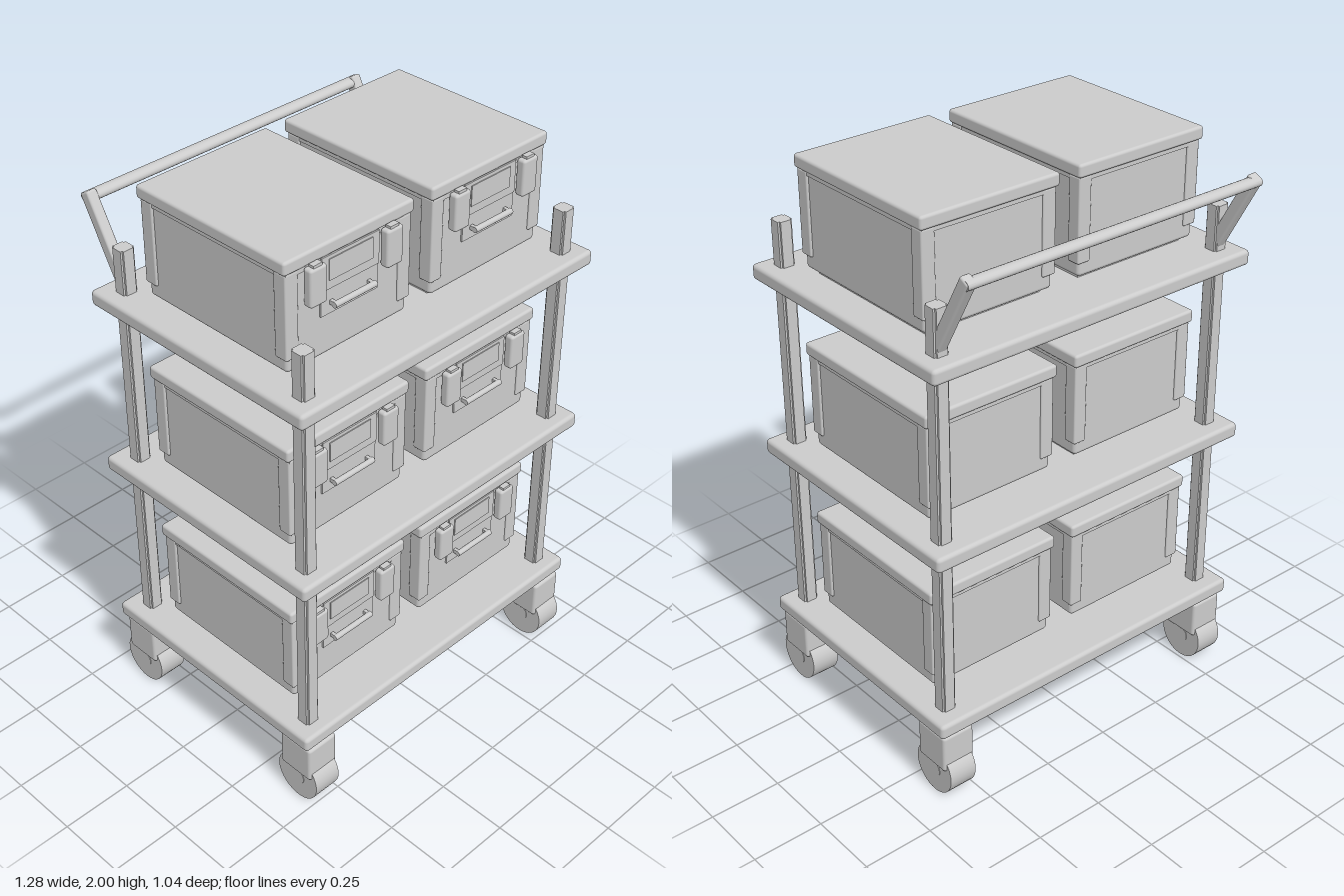
import * as THREE from 'three';
import { RoundedBoxGeometry } from 'three/addons/geometries/RoundedBoxGeometry.js';

const grey = new THREE.MeshStandardMaterial({ color: 0xcccccc });
grey.name = 'light grey';

function add(parent, name, geometry, x = 0, y = 0, z = 0) {
  const mesh = new THREE.Mesh(geometry, grey);
  mesh.name = name;
  mesh.position.set(x, y, z);
  parent.add(mesh);
  return mesh;
}

const box = (w, h, d) => new THREE.BoxGeometry(w, h, d);
const rounded = (w, h, d, r) => new RoundedBoxGeometry(w, h, d, 2, r);

const SHELF_Z = 0.033;
const POST_X = 0.565;
const POST_Z = [0.429, -0.353];

// Square post with small notches along its four edges
function postGeometry(height) {
  const a = 0.026, b = 0.019;
  const outline = [[-b, -a], [b, -a], [b, -b], [a, -b], [a, b], [b, b],
    [b, a], [-b, a], [-b, b], [-a, b], [-a, -b], [-b, -b]];
  const shape = new THREE.Shape(outline.map(([x, y]) => new THREE.Vector2(x, y)));
  return new THREE.ExtrudeGeometry(shape, { depth: height, bevelEnabled: false })
    .rotateX(-Math.PI / 2);
}

// Lidded storage bin, its origin at the bottom centre
function createBin() {
  const bin = new THREE.Group();
  bin.name = 'storageBin';
  add(bin, 'binFoot', box(0.44, 0.02, 0.54), 0, -0.006, 0.035);
  add(bin, 'binBody', rounded(0.488, 0.35, 0.606, 0.014), 0, 0.175, 0.037);
  add(bin, 'binLid', rounded(0.52, 0.045, 0.632, 0.01), 0, 0.3555, 0.035);
  add(bin, 'binRim', box(0.498, 0.016, 0.616), 0, 0.326, 0.037);

  // Raised corner guards
  for (const sx of [-1, 1]) {
    for (const sz of [-1, 1]) {
      add(bin, 'cornerGuard', rounded(0.05, 0.285, 0.05, 0.006),
        sx * 0.227, 0.19, 0.037 + sz * 0.284);
    }
  }

  // Front plate with a label frame and a pull bar
  add(bin, 'frontPlate', box(0.23, 0.195, 0.01), 0, 0.235, 0.341);
  add(bin, 'plateStep', box(0.23, 0.11, 0.006), 0, 0.2775, 0.347);
  add(bin, 'labelPanel', box(0.175, 0.07, 0.004), 0, 0.286, 0.351);
  add(bin, 'pullBar', new THREE.CylinderGeometry(0.01, 0.01, 0.168, 12).rotateZ(Math.PI / 2),
    0, 0.175, 0.367);
  for (const sx of [-1, 1]) {
    add(bin, 'pullBarMount', box(0.012, 0.014, 0.024), sx * 0.076, 0.175, 0.354);
    add(bin, 'latch', rounded(0.066, 0.126, 0.034, 0.01), sx * 0.153, 0.272, 0.363);
    add(bin, 'latchHook', box(0.035, 0.02, 0.02), sx * 0.153, 0.333, 0.364);
  }
  return bin;
}

// Caster with a hood over a wide wheel
function createCaster() {
  const caster = new THREE.Group();
  caster.name = 'caster';
  add(caster, 'casterStem', new THREE.CylinderGeometry(0.045, 0.045, 0.03, 20), 0, 0.262, 0);
  add(caster, 'casterHood', rounded(0.122, 0.14, 0.138, 0.012), 0, 0.187, 0);
  add(caster, 'wheel', new THREE.CylinderGeometry(0.089, 0.089, 0.102, 36).rotateZ(Math.PI / 2),
    0, 0.09, 0);
  add(caster, 'wheelHub', new THREE.CylinderGeometry(0.03, 0.03, 0.106, 20).rotateZ(Math.PI / 2),
    0, 0.09, 0);
  return caster;
}

export function createModel() {
  const model = new THREE.Group();
  model.name = 'binTrolley';

  // Three shelves, each with two bins
  for (const top of [0.32, 0.963, 1.604]) {
    add(model, 'shelf', rounded(1.284, 0.054, 0.938, 0.014), 0, top - 0.027, SHELF_Z);
    for (const sx of [-1, 1]) {
      const bin = createBin();
      bin.position.set(sx * 0.298, top + 0.016, 0);
      model.add(bin);
    }
  }

  // Posts and casters at the four corners
  for (const sx of [-1, 1]) {
    for (const z of POST_Z) {
      add(model, 'post', postGeometry(1.48), sx * POST_X, 0.28, z);
      const caster = createCaster();
      caster.position.set(sx * POST_X, 0, z);
      model.add(caster);
    }
  }

  // Push handle: two slanted arms joined by a crossbar
  const low = new THREE.Vector2(-0.36, 1.63);
  const high = new THREE.Vector2(-0.497, 1.88);
  const length = low.distanceTo(high);
  const tilt = Math.atan2(high.x - low.x, high.y - low.y);
  for (const sx of [-1, 1]) {
    const arm = add(model, 'handleArm', rounded(0.038, length + 0.03, 0.042, 0.008),
      sx * POST_X, (low.y + high.y) / 2, (low.x + high.x) / 2);
    arm.rotation.x = tilt;
  }
  const bar = add(model, 'handleBar',
    new THREE.CylinderGeometry(0.023, 0.023, 1.16, 20).rotateZ(Math.PI / 2), 0, 1.876, -0.498);
  bar.scale.y = 0.75;
  return model;
}
